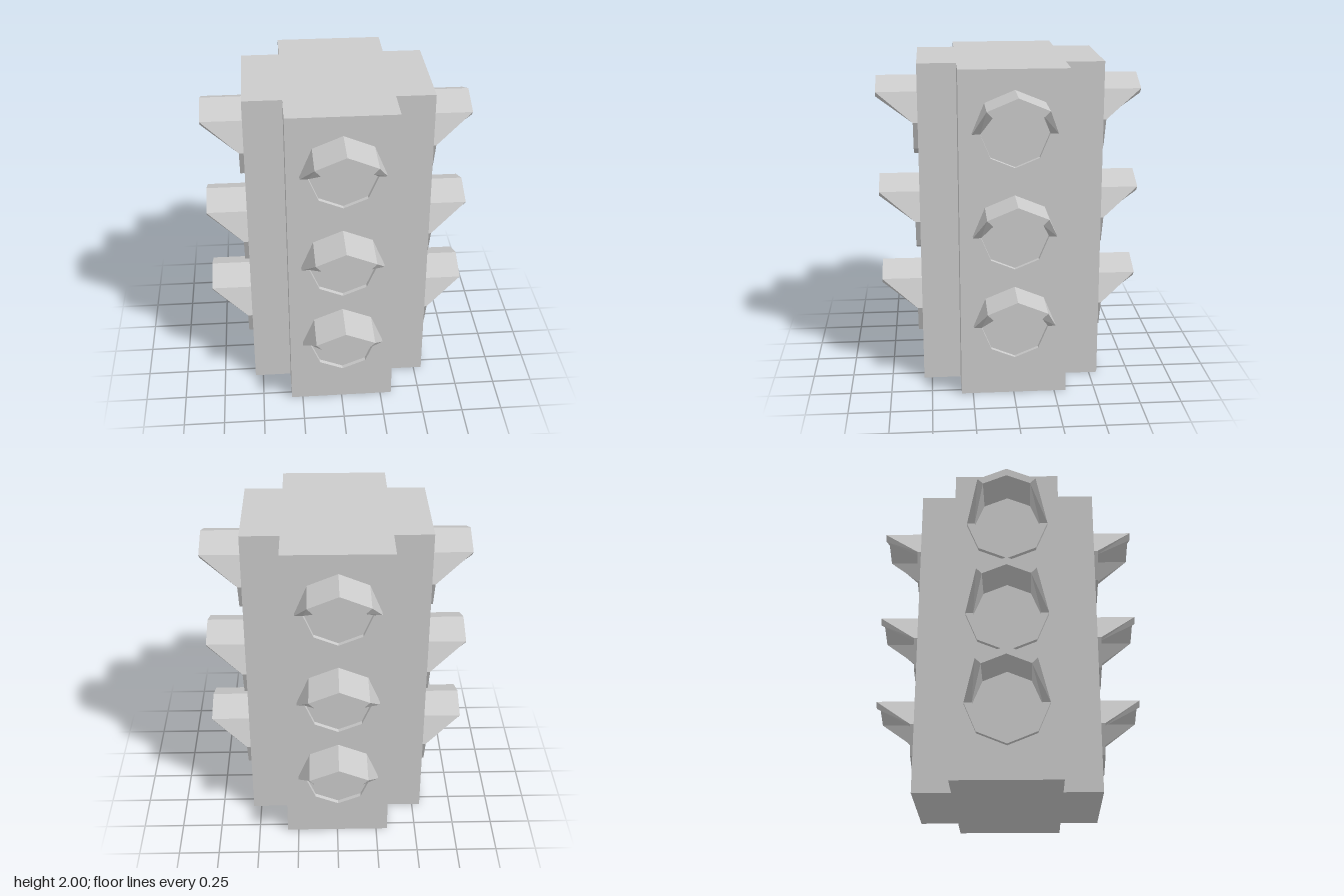
import * as THREE from 'three';

const FACE = 0.55, ARM = 0.32;        // housing reach and arm half-width
const R_OUT = 0.247, R_IN = 0.2;      // octagonal rim radii
const RIM = 0.58, VISOR = 0.8;        // front depth of rim and of visor
const SIDES = 8;

// Octagonal rim whose top three corners stretch forward into a visor
function hoodGeometry() {
  const point = (i, r, z) => {
    const a = (i / SIDES) * Math.PI * 2;
    return [Math.cos(a) * r, Math.sin(a) * r, z];
  };
  const front = i => (i % SIDES >= 1 && i % SIDES <= 3 ? VISOR : RIM);
  const pos = [];
  const quad = (a, b, c, d) => pos.push(...a, ...b, ...c, ...a, ...c, ...d);
  for (let i = 0; i < SIDES; i++) {
    const j = i + 1;
    const o0 = point(i, R_OUT, front(i)), o1 = point(j, R_OUT, front(j));
    const n0 = point(i, R_IN, front(i)), n1 = point(j, R_IN, front(j));
    quad(point(i, R_OUT, FACE), point(j, R_OUT, FACE), o1, o0); // outer wall
    quad(o0, o1, n1, n0);                                       // front edge
    quad(n0, n1, point(j, R_IN, FACE), point(i, R_IN, FACE));   // inner wall
  }
  const g = new THREE.BufferGeometry();
  g.setAttribute('position', new THREE.Float32BufferAttribute(pos, 3));
  g.computeVertexNormals();
  return g;
}

export function createModel() {
  const model = new THREE.Group();
  model.name = 'fourWaySignal';
  const grey = new THREE.MeshStandardMaterial({ color: 0xcccccc, flatShading: true });

  // Cross-shaped housing
  const corners = [];
  for (let k = 0; k < 4; k++) {
    const turn = (x, y) => new THREE.Vector2(x, y).rotateAround(new THREE.Vector2(), k * Math.PI / 2);
    corners.push(turn(FACE, -ARM), turn(FACE, ARM), turn(ARM, ARM));
  }
  const bodyGeo = new THREE.ExtrudeGeometry(new THREE.Shape(corners), { depth: 2, bevelEnabled: false });
  bodyGeo.rotateX(-Math.PI / 2);
  const body = new THREE.Mesh(bodyGeo, grey);
  body.name = 'housing';
  model.add(body);

  // Three hooded lamps on each of the four faces
  const hoodGeo = hoodGeometry();
  const lensGeo = new THREE.CircleGeometry(R_IN, SIDES);
  for (let k = 0; k < 4; k++) {
    const side = new THREE.Group();
    side.name = ['front', 'left', 'back', 'right'][k] + 'Lamps';
    side.rotation.y = k * Math.PI / 2;
    [['top', 1.635], ['middle', 1.017], ['bottom', 0.448]].forEach(([level, y]) => {
      const lamp = new THREE.Group();
      lamp.name = level + 'Lamp';
      lamp.position.set(0.004, y, 0);
      const hood = new THREE.Mesh(hoodGeo, grey);
      hood.name = 'visorHood';
      const lens = new THREE.Mesh(lensGeo, grey);
      lens.name = 'lens';
      lens.position.z = FACE + 0.003;
      lamp.add(hood, lens);
      side.add(lamp);
    });
    model.add(side);
  }
  return model;
}
